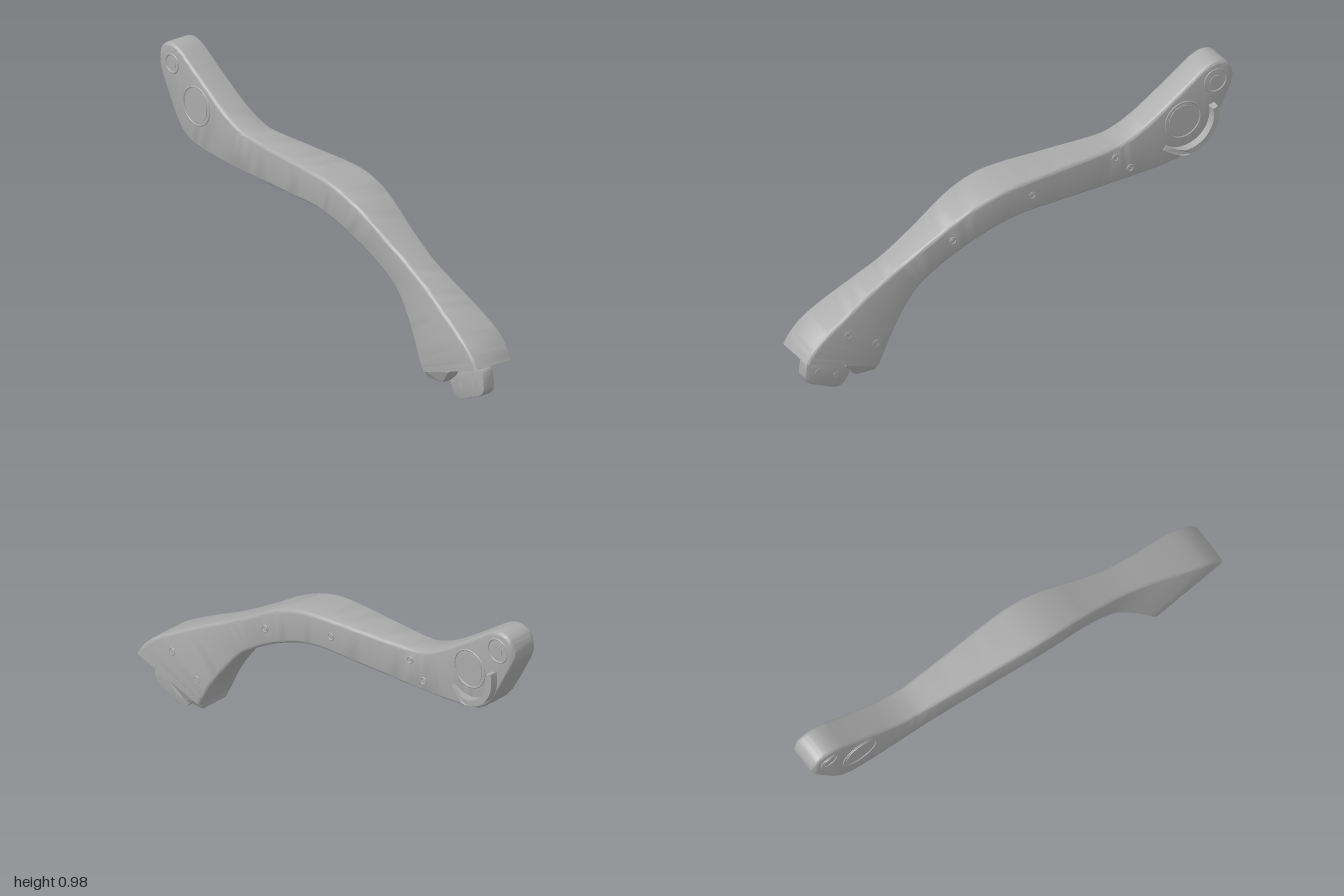
import * as THREE from 'three';
import { toCreasedNormals } from 'three/addons/utils/BufferGeometryUtils.js';

const grey = new THREE.MeshStandardMaterial({ color: 0xaaaaaa });
grey.name = 'grey metal';

// stations along the arm: top x, top y, bottom x, bottom y, half width
const STATIONS = [
  [-0.998, 0.925, -1.0, 0.885, 0.056], [-0.98, 0.96, -0.982, 0.845, 0.065],
  [-0.95, 0.98, -0.953, 0.79, 0.065], [-0.91, 0.983, -0.918, 0.725, 0.065],
  [-0.865, 0.965, -0.882, 0.665, 0.065], [-0.82, 0.935, -0.84, 0.62, 0.065],
  [-0.74, 0.88, -0.78, 0.592, 0.065], [-0.6, 0.79, -0.66, 0.577, 0.066],
  [-0.5, 0.747, -0.53, 0.572, 0.067], [-0.42, 0.736, -0.42, 0.572, 0.07],
  [-0.2, 0.733, -0.2, 0.58, 0.085], [0, 0.73, -0.02, 0.588, 0.099],
  [0.12, 0.715, 0.09, 0.575, 0.102], [0.25, 0.668, 0.2, 0.535, 0.094],
  [0.4, 0.58, 0.32, 0.472, 0.078], [0.55, 0.495, 0.45, 0.385, 0.069],
  [0.68, 0.43, 0.53, 0.295, 0.076], [0.8, 0.365, 0.597, 0.2, 0.09],
  [0.9, 0.305, 0.632, 0.135, 0.097], [0.96, 0.25, 0.645, 0.11, 0.097],
  [0.99, 0.205, 0.655, 0.09, 0.096],
];

// rounded-rectangle cross-section between a top and a bottom point
function section(t, b, w) {
  const d = t.clone().sub(b);
  const h = d.length() / 2;
  d.normalize();
  const c = t.clone().add(b).multiplyScalar(0.5);
  const r = Math.min(0.016, h * 0.7);
  const ring = [];
  for (let q = 0; q < 4; q++) {
    const su = q === 0 || q === 3 ? 1 : -1, sz = q < 2 ? 1 : -1;
    for (let k = 0; k <= 4; k++) {
      const a = (q + k / 4) * Math.PI / 2;
      const u = su * (h - r) + r * Math.cos(a);
      ring.push(new THREE.Vector3(c.x + d.x * u, c.y + d.y * u, sz * (w - r) + r * Math.sin(a)));
    }
  }
  return ring;
}

// closed surface through a list of rings
function loft(rings) {
  const n = rings[0].length, pos = [], index = [];
  rings.forEach(r => r.forEach(p => pos.push(p.x, p.y, p.z)));
  for (let j = 0; j < rings.length - 1; j++) {
    for (let i = 0; i < n; i++) {
      const a = j * n + i, b = j * n + (i + 1) % n;
      index.push(a, b, a + n, b, b + n, a + n);
    }
  }
  const last = (rings.length - 1) * n;
  for (let i = 1; i < n - 1; i++) {
    index.push(0, i + 1, i, last, last + i, last + i + 1);
  }
  const g = new THREE.BufferGeometry();
  g.setAttribute('position', new THREE.Float32BufferAttribute(pos, 3));
  g.setIndex(index);
  return toCreasedNormals(g, 0.6);
}

function armGeometry() {
  const tops = new THREE.CatmullRomCurve3(STATIONS.map(s => new THREE.Vector3(s[0], s[1], s[4])), false, 'catmullrom');
  const bots = new THREE.CatmullRomCurve3(STATIONS.map(s => new THREE.Vector3(s[2], s[3], 0)), false, 'catmullrom');
  const steps = (STATIONS.length - 1) * 4, rings = [];
  for (let i = 0; i <= steps; i++) {
    const t = tops.getPoint(i / steps), b = bots.getPoint(i / steps);
    rings.push(section(new THREE.Vector2(t.x, t.y), new THREE.Vector2(b.x, b.y), t.z));
  }
  // recess in the foot end
  const c = new THREE.Vector3(0.823, 0.148, 0);
  const rim = rings[rings.length - 1].map(p => p.clone().sub(c).multiply(new THREE.Vector3(0.84, 0.84, 0.8)).add(c));
  rings.push(rim, rim.map(p => p.clone().add(new THREE.Vector3(-0.018, 0.052, 0))));
  return loft(rings);
}

export function createModel() {
  const model = new THREE.Group();
  const add = (name, geometry, x = 0, y = 0, z = 0) => {
    const m = new THREE.Mesh(geometry, grey);
    m.name = name;
    m.position.set(x, y, z);
    model.add(m);
    return m;
  };
  const disc = (name, r, depth, x, y, z) =>
    add(name, new THREE.CylinderGeometry(r, r, depth, 32).rotateX(Math.PI / 2), x, y, z);
  const ring = (name, r, tube, x, y, z) =>
    add(name, new THREE.TorusGeometry(r, tube, 8, 40), x, y, z);

  add('arm', armGeometry());

  // tapered heel under the foot
  const heel = new THREE.Shape([[0.652, 0.105], [0.66, 0.062], [0.75, 0.07], [0.785, 0.1], [0.81, 0.138], [0.76, 0.15]]
    .map(p => new THREE.Vector2(...p)));
  const heelGeo = new THREE.ExtrudeGeometry(heel, { depth: 2, bevelEnabled: false }).translate(0, 0, -1);
  const hp = heelGeo.attributes.position;
  for (let i = 0; i < hp.count; i++) {
    const k = THREE.MathUtils.clamp((hp.getY(i) - 0.06) / 0.045, 0, 1);
    hp.setZ(i, hp.getZ(i) * (0.066 + 0.027 * k));
  }
  heelGeo.computeVertexNormals();
  add('heel', heelGeo);

  // rounded tab hanging from the foot
  const tab = new THREE.Shape();
  tab.moveTo(0.735, 0.08);
  tab.lineTo(0.768, 0.025);
  tab.quadraticCurveTo(0.785, 0, 0.825, 0.009);
  tab.lineTo(0.92, 0.052);
  tab.quadraticCurveTo(0.955, 0.07, 0.956, 0.1);
  tab.lineTo(0.95, 0.145);
  tab.quadraticCurveTo(0.945, 0.178, 0.915, 0.18);
  tab.lineTo(0.83, 0.2);
  const tabGeo = new THREE.ExtrudeGeometry(tab, {
    depth: 0.044, bevelEnabled: true, bevelSize: 0.006, bevelOffset: -0.006, bevelThickness: 0.006, bevelSegments: 2,
  }).translate(0, 0, -0.022);
  add('footTab', toCreasedNormals(tabGeo, 0.6));
  for (const s of [1, -1]) {
    disc('tabPin', 0.014, 0.004, 0.815, 0.065, s * 0.028);
    disc('tabPin', 0.014, 0.004, 0.895, 0.105, s * 0.028);
  }

  // round cover and pivot screw on both faces
  for (const s of [1, -1]) {
    ring('coverRing', 0.08, 0.004, -0.765, 0.765, s * 0.065);
    disc('cover', 0.066, 0.006, -0.765, 0.765, s * 0.065);
    ring('pivotRing', s > 0 ? 0.038 : 0.05, 0.004, -0.915, 0.9, s * 0.065);
    disc('pivotScrew', 0.024, 0.006, -0.915, 0.9, s * 0.065);
  }

  // curved ridge round the cover on the back
  const ridge = new THREE.Shape();
  const a0 = Math.PI * 0.92, a1 = Math.PI * 1.72;
  ridge.absarc(0, 0, 0.147, a0, a1, false);
  ridge.absarc(0, 0, 0.122, a1, a0, true);
  const ridgeGeo = new THREE.ExtrudeGeometry(ridge, { depth: 0.04, bevelEnabled: false, curveSegments: 24 })
    .translate(0, 0, -0.04);
  const rp = ridgeGeo.attributes.position;
  for (let i = 0; i < rp.count; i++) {
    // height falls away towards the arm
    const k = THREE.MathUtils.clamp((0.1 - rp.getX(i)) / 0.09, 0.2, 1);
    rp.setZ(i, rp.getZ(i) * k);
  }
  add('backRidge', toCreasedNormals(ridgeGeo, 0.6), -0.765, 0.765, -0.06);

  // small screws along the back: x, y, depth of the face
  const screws = [[0.8, 0.28, 0.094], [0.67, 0.2, 0.093], [0.31, 0.56, 0.087],
    [-0.05, 0.66, 0.0965], [-0.45, 0.69, 0.069], [-0.52, 0.62, 0.067]];
  for (const [x, y, z] of screws) {
    ring('screwRim', 0.014, 0.003, x, y, -z);
    disc('screw', 0.009, 0.003, x, y, -z);
  }
  return model;
}
